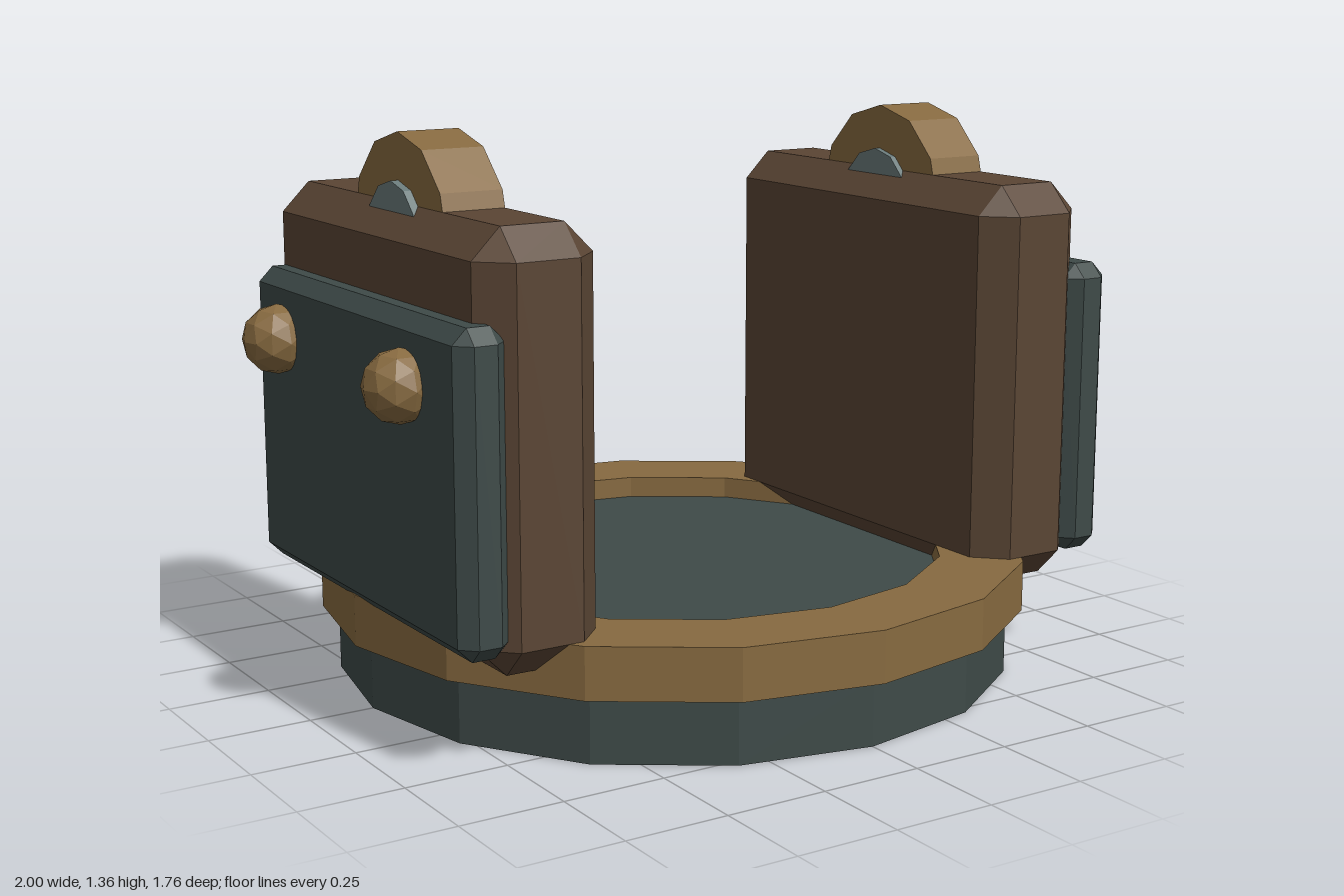
import * as THREE from 'three';
import { ConvexGeometry } from 'three/addons/geometries/ConvexGeometry.js';

const paint = (color) => new THREE.MeshStandardMaterial({ color, flatShading: true });

// Box with a single flat bevel on every edge and a triangle on every corner
function bevelBox(w, h, d, b) {
  const points = [];
  for (const x of [-1, 1]) for (const y of [-1, 1]) for (const z of [-1, 1]) {
    for (const [i, j, k] of [[0, b, b], [b, 0, b], [b, b, 0]]) {
      points.push(new THREE.Vector3(x * (w / 2 - i), y * (h / 2 - j), z * (d / 2 - k)));
    }
  }
  return new ConvexGeometry(points);
}

export function createModel() {
  const model = new THREE.Group();
  model.name = 'bracketStand';

  const slate = paint(0x3e4a48);
  const brass = paint(0x876a40);
  const wood = paint(0x5a4534);
  const steel = paint(0x6b7b7b);

  const add = (parent, name, geometry, material, x, y, z) => {
    const mesh = new THREE.Mesh(geometry, material);
    mesh.name = name;
    mesh.position.set(x, y, z);
    parent.add(mesh);
  };

  // Round base, its top forming the recessed floor
  add(model, 'base', new THREE.CylinderGeometry(0.84, 0.84, 0.16, 16), slate, 0, 0.08, 0);
  add(model, 'floor', new THREE.CylinderGeometry(0.7, 0.7, 0.08, 16), slate, 0, 0.19, 0);

  // Flat ring around the floor
  const section = [[0.675, 0.16], [0.88, 0.16], [0.88, 0.285], [0.675, 0.285], [0.675, 0.16]];
  const ring = new THREE.LatheGeometry(section.map(([r, y]) => new THREE.Vector2(r, y)), 16);
  add(model, 'rimRing', ring, brass, 0, 0, 0);

  const wall = bevelBox(0.295, 0.985, 1.125, 0.07);
  const plate = bevelBox(0.125, 0.725, 1.09, 0.035);
  const wheel = new THREE.CylinderGeometry(0.24, 0.24, 0.155, 12).rotateZ(Math.PI / 2);
  const pin = new THREE.CylinderGeometry(0.13, 0.13, 0.19, 12).rotateZ(Math.PI / 2);
  const rivet = new THREE.IcosahedronGeometry(0.085, 1);

  // Two upright cheeks, one on each side
  for (const side of [1, -1]) {
    const cheek = new THREE.Group();
    cheek.name = side > 0 ? 'leftCheek' : 'rightCheek';
    add(cheek, 'wall', wall, wood, side * 0.683, 0.7075, 0.03);
    add(cheek, 'outerPlate', plate, slate, side * 0.838, 0.6375, 0.055);
    add(cheek, 'wheel', wheel, brass, side * 0.683, 1.12, 0.04);
    add(cheek, 'wheelPin', pin, steel, side * 0.685, 1.12, 0.04);
    for (const z of [0.345, -0.32]) add(cheek, 'rivet', rivet, brass, side * 0.915, 0.845, z);
    model.add(cheek);
  }

  return model;
}
